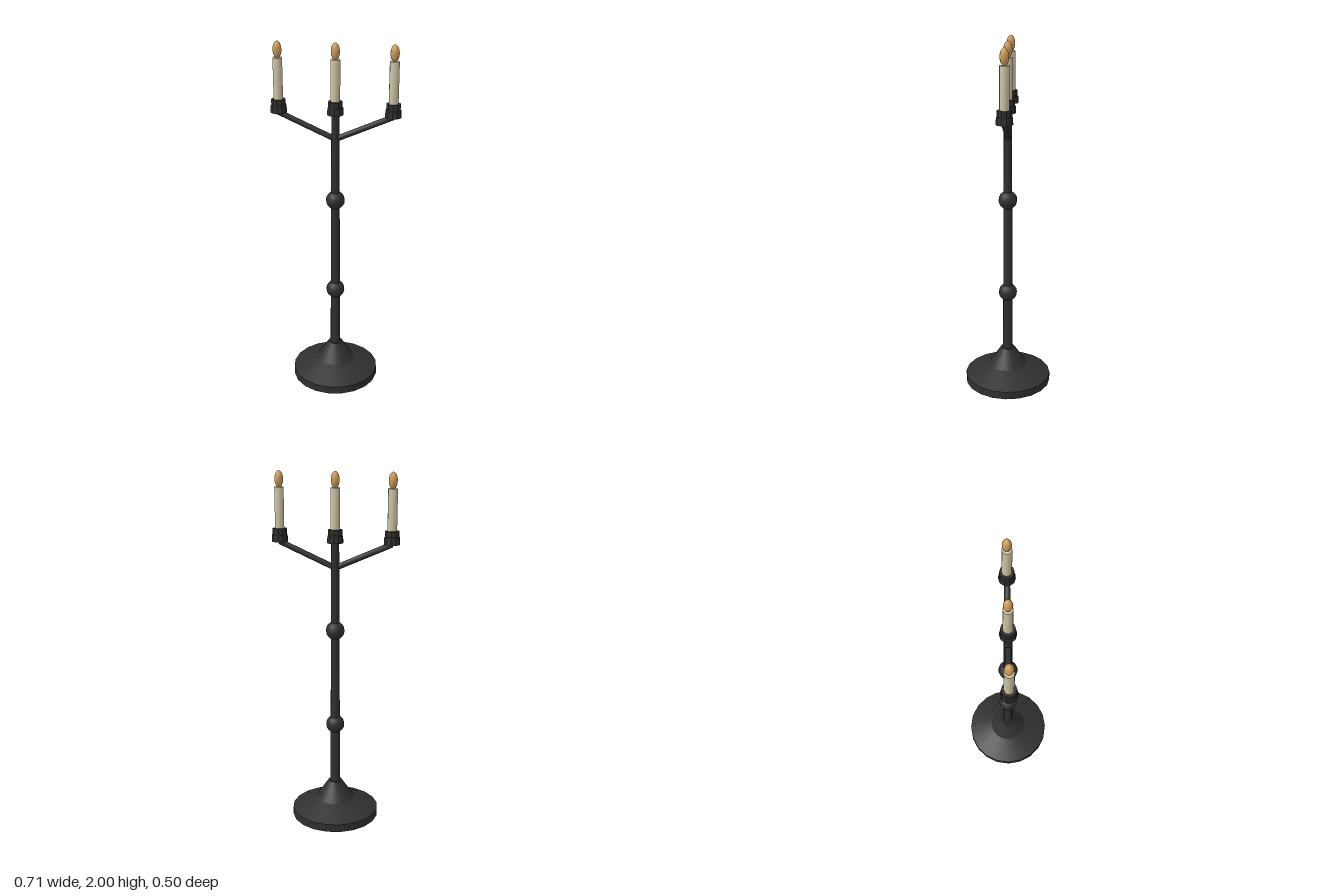
import * as THREE from 'three';
import { toCreasedNormals } from 'three/addons/utils/BufferGeometryUtils.js';

const material = (name, color) => {
  const m = new THREE.MeshStandardMaterial({ color });
  m.name = name;
  return m;
};

export function createModel() {
  const group = new THREE.Group();
  const iron = material('dark iron', 0x303030);
  const wax = material('cream wax', 0xcfc5a5);
  const fire = material('amber flame', 0xd09c58);

  const add = (name, geometry, mat, x = 0, y = 0, parent = group) => {
    const mesh = new THREE.Mesh(geometry, mat);
    mesh.name = name;
    mesh.position.set(x, y, 0);
    parent.add(mesh);
    return mesh;
  };
  // Turned part from [radius, height] pairs, listed bottom to top
  const turned = (points, sides, crease) => toCreasedNormals(
    new THREE.LatheGeometry(points.map(([r, y]) => new THREE.Vector2(r, y)), sides), crease);

  // Flared round foot
  add('base', turned([[0, 0], [0.25, 0], [0.25, 0.045], [0.11, 0.105],
    [0.04, 0.21], [0, 0.21]], 20, 0.5), iron);

  // Tapered pole with two round knops
  add('pole', turned([[0, 0.2], [0.029, 0.2], [0.022, 1.63], [0, 1.63]], 12, 0.7), iron);
  for (const y of [0.565, 1.125])
    add('knop', new THREE.SphereGeometry(0.053, 14, 10), iron, 0, y);

  // Sloping arms
  const hub = new THREE.Vector3(0, 1.48, 0);
  for (const side of [-1, 1]) {
    const tip = new THREE.Vector3(side * 0.31, 1.617, 0);
    const direction = tip.clone().sub(hub);
    const arm = add('arm', toCreasedNormals(
      new THREE.CylinderGeometry(0.016, 0.016, direction.length(), 8), 0.9), iron);
    arm.position.copy(hub).add(tip).multiplyScalar(0.5);
    arm.quaternion.setFromUnitVectors(new THREE.Vector3(0, 1, 0), direction.normalize());
  }

  // Three cups, each with a candle and flame
  const cup = turned([[0, 0], [0.045, 0], [0.043, 0.038], [0.039, 0.042],
    [0.039, 0.073], [0, 0.073]], 10, 0.5);
  const candle = toCreasedNormals(new THREE.CylinderGeometry(0.026, 0.026, 0.24, 12), 0.7);
  const flame = new THREE.SphereGeometry(0.024, 12, 10).scale(1, 1.9, 1);
  for (const x of [-0.31, 0, 0.31]) {
    const light = new THREE.Group();
    light.name = 'candleHolder';
    light.position.set(x, 1.617, 0);
    group.add(light);
    add('cup', cup, iron, 0, 0, light);
    add('candle', candle, wax, 0, 0.176, light);
    add('flame', flame, fire, 0, 0.3374, light);
  }
  return group;
}
